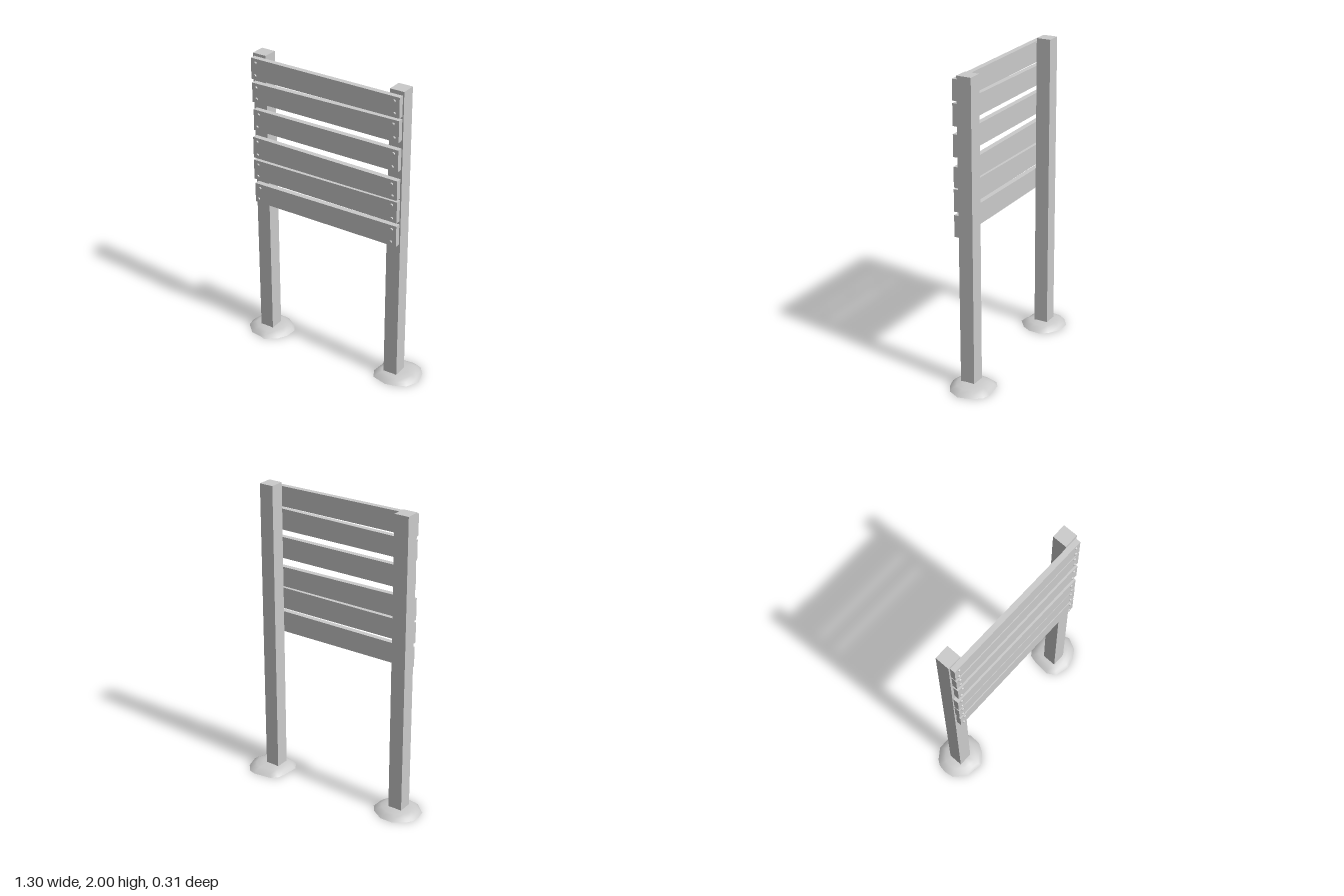
import * as THREE from 'three';

const wood = new THREE.MeshStandardMaterial({ color: 0xcccccc });
const earth = new THREE.MeshStandardMaterial({ color: 0xcccccc, side: THREE.DoubleSide });

const POST = 0.095, POST_Z = 0.0075, BOARD_Z = 0.055, BOARD_DEPTH = 0.035;

// Each board: left x, top left, bottom left, right x, top right, bottom right
const BOARDS = [
  [-0.54, 1.982, 1.845, 0.507, 1.975, 1.845],
  [-0.537, 1.82, 1.692, 0.507, 1.83, 1.692],
  [-0.532, 1.643, 1.503, 0.507, 1.643, 1.503],
  [-0.542, 1.452, 1.31, 0.505, 1.442, 1.312],
  [-0.542, 1.294, 1.16, 0.507, 1.302, 1.16],
  [-0.537, 1.13, 0.998, 0.507, 1.138, 0.998],
];

// Irregular ground outlines of the mounds as [x, z]
const MOUNDS = [
  { name: 'rightMound', x: -0.5, z: 0, rim: [
    [-0.55, -0.14], [-0.46, -0.14], [-0.38, -0.09], [-0.345, -0.04], [-0.35, 0.04], [-0.385, 0.1], [-0.455, 0.155],
    [-0.51, 0.14], [-0.57, 0.135], [-0.645, 0.065], [-0.655, 0], [-0.645, -0.055], [-0.62, -0.09]] },
  { name: 'leftMound', x: 0.495, z: -0.01, rim: [
    [0.41, -0.145], [0.53, -0.16], [0.58, -0.145], [0.625, -0.09], [0.65, 0], [0.61, 0.08], [0.55, 0.115],
    [0.48, 0.135], [0.38, 0.11], [0.345, 0.05], [0.355, -0.06], [0.37, -0.115]] },
];

function add(parent, name, geometry, material, x = 0, y = 0, z = 0) {
  const mesh = new THREE.Mesh(geometry, material);
  mesh.name = name;
  mesh.position.set(x, y, z);
  parent.add(mesh);
  return mesh;
}

// Plank with slightly crooked cut, extruded toward the front
function boardGeometry([xl, tl, bl, xr, tr, br]) {
  const shape = new THREE.Shape([[xl, bl], [xr, br], [xr, tr], [xl, tl]].map(p => new THREE.Vector2(...p)));
  return new THREE.ExtrudeGeometry(shape, { depth: BOARD_DEPTH, bevelEnabled: false });
}

// Hollow heap: the rim shrinks ring by ring while it rises to the centre
function moundGeometry({ x, z, rim }) {
  const rings = [[1, 0], [0.87, 0.018], [0.68, 0.032], [0.4, 0.037]];
  const n = rim.length, positions = [], index = [];
  for (const [s, y] of rings)
    for (const [px, pz] of rim) positions.push(x + (px - x) * s, y, z + (pz - z) * s);
  positions.push(x, 0.039, z);
  const top = rings.length * n;
  for (let r = 0; r < rings.length; r++) {
    for (let i = 0; i < n; i++) {
      const a = r * n + i, b = r * n + (i + 1) % n;
      if (r === rings.length - 1) index.push(top, b, a);
      else index.push(a, a + n, b, b, a + n, b + n);
    }
  }
  const geometry = new THREE.BufferGeometry();
  geometry.setAttribute('position', new THREE.Float32BufferAttribute(positions, 3));
  geometry.setIndex(index);
  geometry.computeVertexNormals();
  return geometry;
}

export function createModel() {
  const model = new THREE.Group();
  model.name = 'boardSign';

  // Posts
  const postGeometry = new THREE.BoxGeometry(POST, 1.99, POST);
  add(model, 'rightPost', postGeometry, wood, -0.503, 1.005, POST_Z);
  add(model, 'leftPost', postGeometry, wood, 0.468, 1.005, POST_Z);

  // Boards with a nail near every corner
  const nailGeometry = new THREE.CylinderGeometry(0.008, 0.011, 0.008, 8).rotateX(Math.PI / 2);
  BOARDS.forEach((b, i) => {
    const group = new THREE.Group();
    group.name = `board${i + 1}`;
    add(group, 'plank', boardGeometry(b), wood, 0, 0, BOARD_Z);
    const [xl, tl, bl, xr, tr, br] = b;
    const wobble = 0.004 * Math.sin(i * 2.3);
    const nails = [[xl + 0.033, tl - 0.028], [xl + 0.028, bl + 0.025], [xr - 0.036, tr - 0.028], [xr - 0.034, br + 0.025]];
    nails.forEach(([x, y], k) =>
      add(group, 'nail', nailGeometry, wood, x + (k % 2 ? wobble : -wobble), y, BOARD_Z + BOARD_DEPTH + 0.003));
    model.add(group);
  });

  // Heaps of earth around the post feet
  for (const m of MOUNDS) add(model, m.name, moundGeometry(m), earth);

  return model;
}
